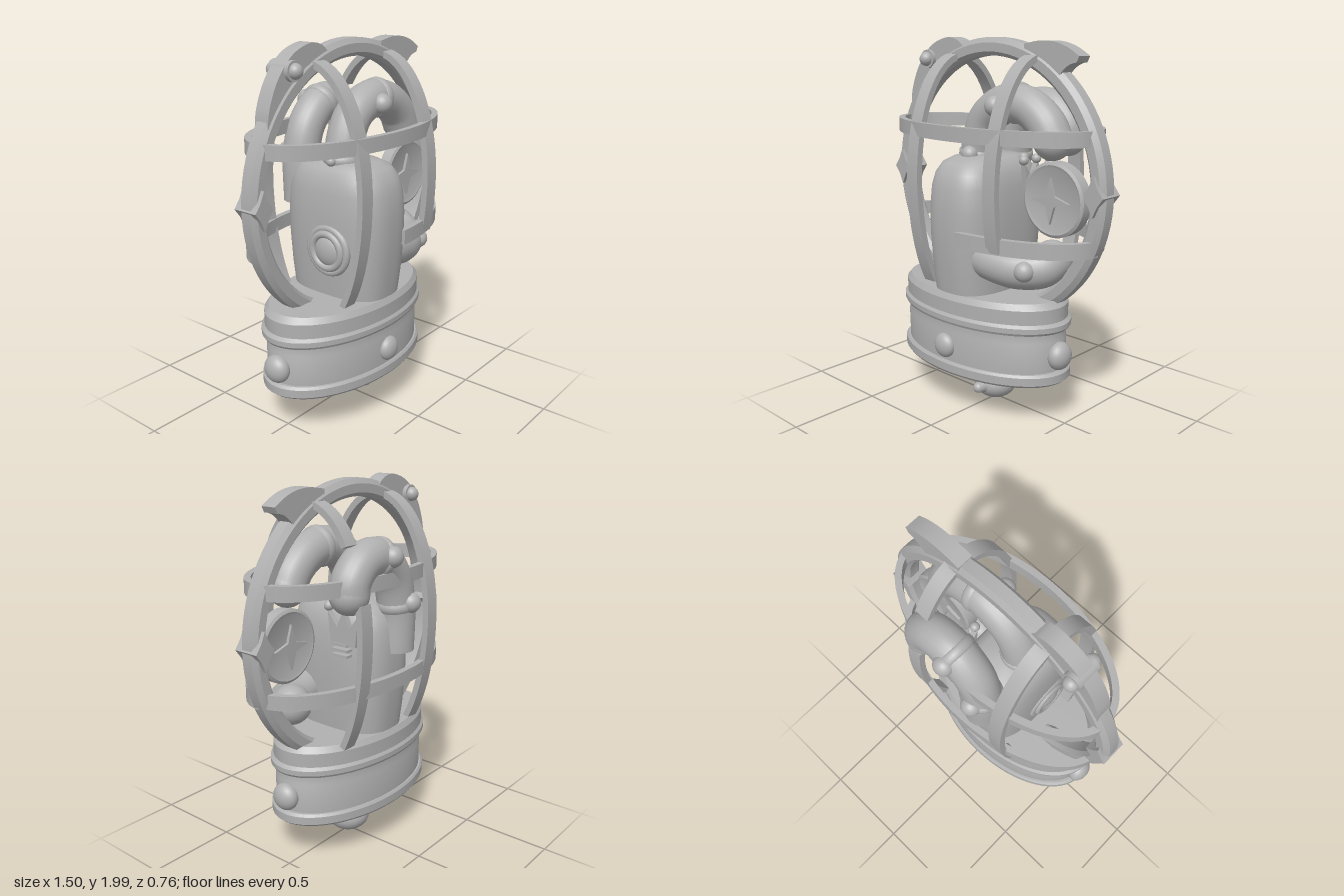
import * as THREE from 'three';
import { toCreasedNormals } from 'three/addons/utils/BufferGeometryUtils.js';

const V = (x, y, z = 0) => new THREE.Vector3(x, y, z);

export function createModel() {
  const model = new THREE.Group();
  const grey = new THREE.MeshStandardMaterial({ color: 0xb0b0b0, side: THREE.DoubleSide });
  grey.name = 'plain grey';

  function add(name, geo, x = 0, y = 0, z = 0) {
    const mesh = new THREE.Mesh(geo, grey);
    mesh.name = name;
    mesh.position.set(x, y, z);
    model.add(mesh);
    return mesh;
  }
  const ball = (name, r, x, y, z, sx = 1, sy = 1, sz = 1) =>
    add(name, new THREE.SphereGeometry(r, 24, 16), x, y, z).scale.set(sx, sy, sz);
  const lathe = (pts, crease = 0.5, seg = 64) =>
    toCreasedNormals(new THREE.LatheGeometry(pts.map(p => new THREE.Vector2(...p)), seg), crease);
  const plate = (shape, depth) =>
    toCreasedNormals(new THREE.ExtrudeGeometry(shape, { depth, bevelEnabled: false, curveSegments: 8 })
      .translate(0, 0, -depth / 2), 0.5);

  // Four-pointed star shape
  function star(rx, ry, waist) {
    const s = new THREE.Shape();
    for (let i = 0; i < 8; i++) {
      const a = i * Math.PI / 4, k = i % 2 ? waist : 1;
      s[i ? 'lineTo' : 'moveTo'](rx * k * Math.cos(a), ry * k * Math.sin(a));
    }
    return s;
  }

  // Flat bar swept along a planar curve; w is the axis across the bar
  function bar(name, curve, w, from, to, width = 0.075, thick = 0.034) {
    const n = 56, pos = [], idx = [];
    for (let i = 0; i <= n; i++) {
      const t = from + (to - from) * i / n, p = curve(t);
      const tangent = curve(t + 0.001).sub(curve(t - 0.001)).normalize();
      const out = w.clone().cross(tangent);
      [[1, 1], [-1, 1], [-1, -1], [1, -1]].forEach(([a, b]) =>
        pos.push(...p.clone().addScaledVector(out, a * thick / 2).addScaledVector(w, b * width / 2).toArray()));
    }
    for (let i = 0; i < n; i++) for (let k = 0; k < 4; k++) {
      const a = i * 4 + k, b = i * 4 + (k + 1) % 4;
      idx.push(a, b, a + 4, b, b + 4, a + 4);
    }
    const e = n * 4;
    idx.push(0, 3, 2, 0, 2, 1, e, e + 1, e + 2, e, e + 2, e + 3);
    const g = new THREE.BufferGeometry();
    g.setAttribute('position', new THREE.Float32BufferAttribute(pos, 3));
    g.setIndex(idx);
    add(name, toCreasedNormals(g, 0.5));
  }

  // Oval drum base with flanges
  const base = add('base', lathe([[0, 0.237], [0.545, 0.237], [0.56, 0.25], [0.56, 0.293], [0.545, 0.305],
    [0.53, 0.305], [0.53, 0.46], [0.525, 0.47], [0.525, 0.52], [0.55, 0.52], [0.56, 0.533], [0.56, 0.56],
    [0.54, 0.575], [0.54, 0.65], [0.51, 0.68], [0, 0.685]]), -0.06, 0, 0.03);
  base.scale.z = 0.57;
  ball('frontStud', 0.067, -0.06, 0.388, 0.335, 1, 1, 0.65);
  ball('leftStud', 0.075, 0.48, 0.388, 0.03, 0.75, 1, 1);
  ball('rightStud', 0.075, -0.6, 0.388, 0.03, 0.75, 1, 1);

  // Knob below the base
  add('knobNeck', new THREE.CylinderGeometry(0.075, 0.075, 0.15, 32), 0, 0.175, 0);
  ball('knob', 0.12, 0, 0.093, 0, 1, 0.77, 1);
  const nub = add('knobNub', new THREE.CylinderGeometry(0.03, 0.042, 0.06, 24), 0, 0.093, 0.12);
  nub.rotation.x = Math.PI / 2;
  ball('knobNubTip', 0.03, 0, 0.093, 0.14);
  add('peg', new THREE.CylinderGeometry(0.024, 0.018, 0.05, 12), -0.16, 0.222, 0);
  ball('pegTip', 0.02, -0.16, 0.205, 0);

  // Main hoop
  const hoop = add('hoop', lathe([[0.65, -0.03], [0.67, -0.05], [0.715, -0.05], [0.742, -0.03],
    [0.742, 0.03], [0.715, 0.05], [0.67, 0.05], [0.65, 0.03], [0.65, -0.03]], 0.4, 96), 0, 1.25, 0);
  hoop.rotation.x = Math.PI / 2;
  for (const s of [-1, 1]) add('hoopStar', plate(star(0.06, 0.1, 0.62), 0.14), s * 0.688, 1.255, 0);

  // Head and tail plates on the hoop
  const head = new THREE.Shape();
  head.moveTo(-0.625, 1.6);
  head.splineThru([[-0.61, 1.71], [-0.55, 1.84], [-0.45, 1.945], [-0.33, 1.99], [-0.25, 1.98], [-0.2, 1.945]]
    .map(p => new THREE.Vector2(...p)));
  head.absarc(0, 1.25, 0.7, 1.86, 2.6, false);
  add('headPlate', plate(head, 0.085));
  const tail = new THREE.Shape();
  tail.moveTo(0.23, 1.96);
  tail.splineThru([[0.33, 1.975], [0.42, 1.97], [0.5, 1.945], [0.57, 1.905]].map(p => new THREE.Vector2(...p)));
  tail.lineTo(0.555, 1.875);
  tail.quadraticCurveTo(0.5, 1.87, 0.46, 1.82);
  tail.absarc(0, 1.25, 0.7, 0.9, 1.24, false);
  add('tailPlate', plate(tail, 0.085));
  const eye = add('headEye', new THREE.CylinderGeometry(0.05, 0.05, 0.13, 24), -0.46, 1.875, 0);
  eye.rotation.x = Math.PI / 2;
  for (const s of [-1, 1]) ball('headEyeBead', 0.038, -0.46, 1.875, s * 0.068);

  // Cage ribs and bands
  const rib = x => t => V(x, 1.25 + Math.sin(t) * (Math.sin(t) > 0 ? 0.645 : 0.76), 0.335 * Math.cos(t));
  const band = (y, rx, rz) => t => V(rx * Math.cos(t), y, rz * Math.sin(t));
  const X = V(1, 0), Y = V(0, 1), PI = Math.PI;
  bar('rightRib', rib(-0.275), X, -0.85, PI + 0.85, 0.08);
  bar('leftRib', rib(0.28), X, -0.39, 2.35, 0.08);
  bar('leftRearRib', rib(0.28), X, PI - 0.3, PI + 0.85, 0.08);
  bar('upperFrontBand', band(1.525, 0.645, 0.337), Y, 0, PI);
  bar('upperRearBand', band(1.525, 0.645, 0.315), Y, PI, 2 * PI);
  bar('lowerRearBand', band(0.995, 0.655, 0.337), Y, PI, 2 * PI);
  bar('lowerFrontBand', band(0.99, 0.665, 0.337), Y, 0, 1.51, 0.08);

  // Body column, its round section slightly squared off
  const column = new THREE.LatheGeometry([[0, 0.66], [0.195, 0.66], [0.206, 0.8], [0.214, 0.97], [0.215, 1.12],
    [0.207, 1.24], [0.192, 1.31], [0.165, 1.36], [0.125, 1.385], [0, 1.395]].map(p => new THREE.Vector2(...p)), 64);
  const cp = column.attributes.position, power = 2.8;
  for (let i = 0; i < cp.count; i++) {
    const x = cp.getX(i), z = cp.getZ(i), a = Math.atan2(z, x);
    const k = Math.pow(Math.abs(Math.cos(a)) ** power + Math.abs(Math.sin(a)) ** power, -1 / power);
    cp.setXYZ(i, x * k, cp.getY(i), z * k * 1.47);
  }
  add('body', toCreasedNormals(column, 0.9), -0.045, 0, 0.03);

  // Porthole on the side of the body
  for (const [r, x] of [[0.12, -0.25], [0.092, -0.265]]) {
    const rim = add('portholeRim', new THREE.TorusGeometry(r, 0.02, 10, 32), x, 0.94, 0.08);
    rim.rotation.y = PI / 2;
  }
  ball('portholeGlass', 0.09, -0.245, 0.94, 0.08, 0.5, 1, 1);

  // Curling arms with rounded ends and collars
  function arm(name, pts, r, collarAt) {
    const path = new THREE.CatmullRomCurve3(pts.map(p => V(...p)));
    add(name, new THREE.TubeGeometry(path, 48, r, 20));
    const tip = path.getPoint(1);
    ball(name + 'Tip', r, tip.x, tip.y, tip.z);
    for (const t of collarAt) {
      const p = path.getPoint(t);
      const c = add(name + 'Collar', new THREE.TorusGeometry(r - 0.008, 0.016, 10, 32), p.x, p.y, p.z);
      c.lookAt(p.clone().add(path.getTangent(t)));
      c.scale.z = 1.8;
    }
  }
  arm('upperArm', [[-0.08, 1.28, 0.04], [-0.08, 1.42, 0.04], [-0.01, 1.59, 0.04], [0.14, 1.668, 0.04],
    [0.28, 1.645, 0.04], [0.38, 1.57, 0.04], [0.42, 1.5, 0.04]], 0.1, [0.13, 0.56]);
  arm('rearArm', [[-0.09, 1.12, -0.245], [-0.09, 1.36, -0.245], [-0.04, 1.53, -0.245], [0.08, 1.63, -0.245],
    [0.2, 1.62, -0.245], [0.28, 1.54, -0.245], [0.29, 1.48, -0.245]], 0.1, [0.17, 0.49]);
  arm('lowerArm', [[0, 0.9, 0.18], [0.17, 0.865, 0.185], [0.3, 0.85, 0.16], [0.4, 0.86, 0.09],
    [0.42, 0.89, 0.03]], 0.105, []);

  // Suckers and small beads on the arms
  [[0.12, 1.655, 0.135], [0.06, 1.64, -0.33], [-0.1, 1.38, -0.33], [0.385, 0.86, 0.205]]
    .forEach(p => ball('sucker', 0.054, ...p));
  ball('sucker', 0.045, -0.06, 1.395, 0.135);
  ball('collarBead', 0.026, -0.19, 1.395, 0.05);
  ball('collarBead', 0.026, 0.02, 1.395, 0.05);

  // Round shield with a star on both faces
  const shield = add('shield', lathe([[0, -0.028], [0.16, -0.032], [0.175, -0.038], [0.19, -0.03],
    [0.19, 0.03], [0.175, 0.038], [0.16, 0.032], [0, 0.028]], 0.5, 48), 0.45, 1.21, 0.04);
  shield.rotation.x = PI / 2;
  add('shieldStar', plate(star(0.118, 0.118, 0.32), 0.09), 0.44, 1.205, 0.04);

  // Small crowned face on the side of the body
  const crown = new THREE.Shape([[-0.08, 0], [-0.1, 0.17], [-0.04, 0.09], [0, 0.18], [0.04, 0.09], [0.1, 0.17], [0.08, 0]]
    .map(p => new THREE.Vector2(...p)));
  const crownMesh = add('crown', plate(crown, 0.03), 0.175, 1.18, -0.12);
  crownMesh.rotation.y = PI / 2;
  for (const z of [-0.22, -0.12, -0.02]) ball('crownBead', 0.026, 0.18, 1.37, z);
  ball('crownBead', 0.026, 0.11, 1.37, -0.1);
  for (let i = 0; i < 3; i++)
    add('faceLine', new THREE.BoxGeometry(0.05, 0.014, 0.1), 0.17, 1.12 + i * 0.03, -0.1);
  return model;
}
